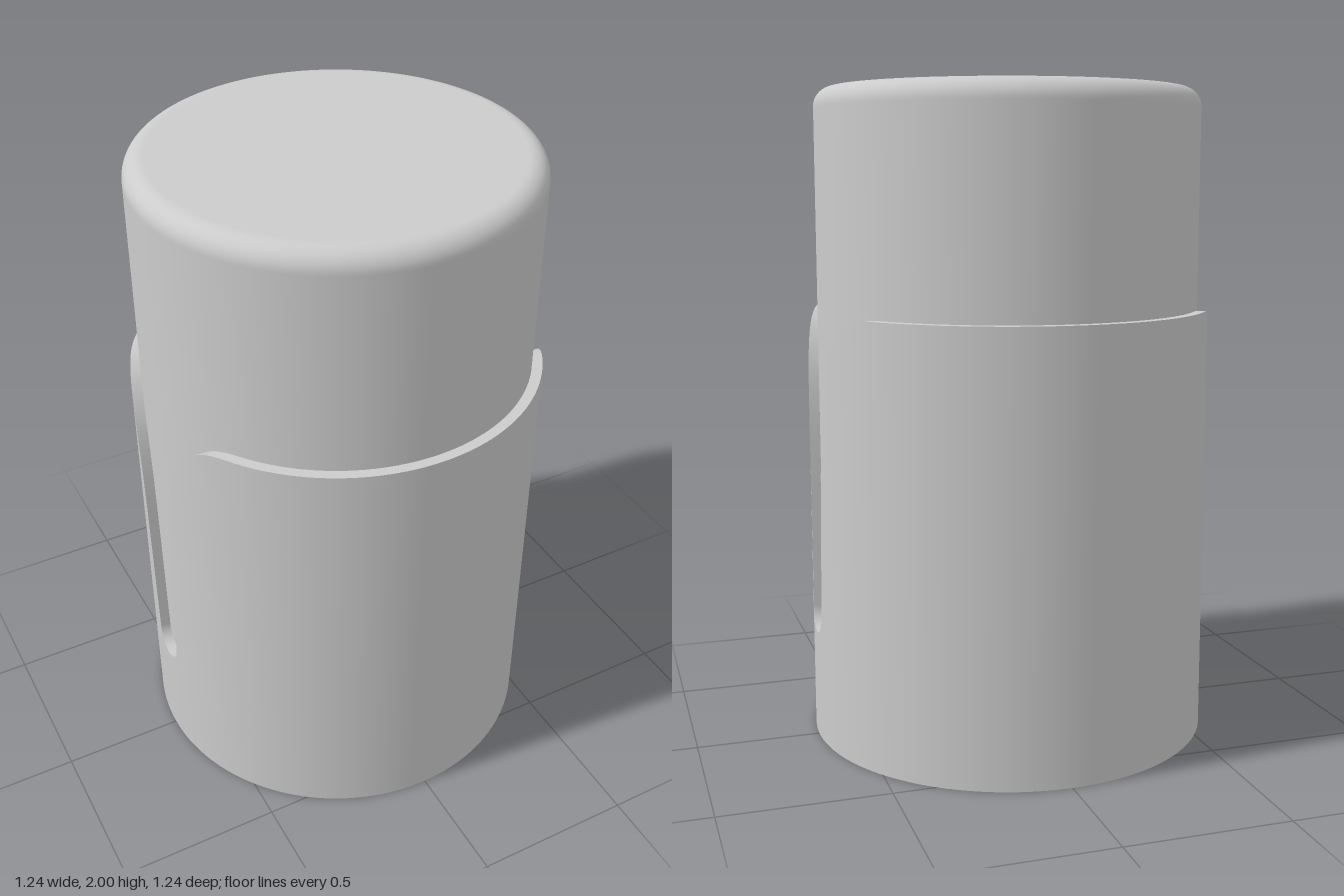
import * as THREE from 'three';

const OUTER = 0.622, INNER = 0.59, RIM = 1.333, HEIGHT = 2, FILLET = 0.06;
const material = new THREE.MeshStandardMaterial({ color: 0xcccccc });

function addPart(group, name, geometry) {
  const mesh = new THREE.Mesh(geometry, material);
  mesh.name = name;
  group.add(mesh);
  return mesh;
}

// Rim line of a quarter of the sleeve, from the slot's middle (+x) to the front (+z):
// angle on the outer wall, angle on the inner wall, height.
function quarterRim() {
  const slot = new THREE.Path();
  slot.absarc(0, 0.4, 0.065, -Math.PI / 2, -0.06, false);
  slot.splineThru([
    [0.071, 0.5], [0.081, 0.7], [0.092, 0.88], [0.107, 1.02], [0.131, 1.13],
    [0.165, 1.21], [0.21, 1.274], [0.26, 1.314], [0.3, 1.329], [0.335, RIM],
  ].map(([z, y]) => new THREE.Vector2(z, y)));
  const rim = slot.getPoints(8).map((p) => ({
    outer: Math.asin(Math.max(p.x, 0) / OUTER),
    inner: Math.asin(Math.max(p.x, 0) / INNER),
    y: Math.min(p.y, RIM),
  }));
  const last = rim[rim.length - 1];
  const steps = 24;
  for (let i = 1; i <= steps; i++) {
    rim.push({
      outer: THREE.MathUtils.lerp(last.outer, Math.PI / 2, i / steps),
      inner: THREE.MathUtils.lerp(last.inner, Math.PI / 2, i / steps),
      y: RIM,
    });
  }
  return rim;
}

// Mirror the quarter into a closed loop around the y axis.
function fullRim() {
  const quarter = quarterRim();
  const flip = (p) => ({ outer: Math.PI - p.outer, inner: Math.PI - p.inner, y: p.y });
  const turn = (p) => ({ outer: Math.PI + p.outer, inner: Math.PI + p.inner, y: p.y });
  const half = [...quarter, ...quarter.slice(1, -1).reverse().map(flip)];
  return [...half, ...half.map(turn)];
}

// Closed strip of quads between two loops of points.
function ribbon(loopA, loopB) {
  const n = loopA.length;
  const index = [];
  for (let i = 0; i < n; i++) {
    const j = (i + 1) % n;
    index.push(i, n + i, j, j, n + i, n + j);
  }
  const geometry = new THREE.BufferGeometry().setFromPoints([...loopA, ...loopB]);
  geometry.setIndex(index);
  geometry.computeVertexNormals();
  return geometry;
}

const polar = (r, a, y) => new THREE.Vector3(r * Math.cos(a), y, r * Math.sin(a));

export function createModel() {
  const group = new THREE.Group();
  group.name = 'slottedContainer';

  // Inner body with a rounded top edge
  const profile = [new THREE.Vector2(INNER, 0.2), new THREE.Vector2(INNER, HEIGHT - FILLET - 0.005)];
  for (let i = 0; i <= 12; i++) {
    const a = (i / 12) * Math.PI / 2;
    profile.push(new THREE.Vector2(
      INNER - FILLET + FILLET * Math.cos(a), HEIGHT - FILLET + FILLET * Math.sin(a)));
  }
  profile.push(new THREE.Vector2(INNER - FILLET - 0.005, HEIGHT), new THREE.Vector2(0, HEIGHT));
  addPart(group, 'innerBody', new THREE.LatheGeometry(profile, 128));

  // Outer sleeve wall, with a flared slot on each side
  const rim = fullRim();
  const foot = rim.map((p) => polar(OUTER, p.outer, 0));
  const outerEdge = rim.map((p) => polar(OUTER, p.outer, p.y));
  const innerEdge = rim.map((p) => polar(INNER, p.inner, p.y));
  addPart(group, 'sleeveWall', ribbon(foot, outerEdge));

  // Thickness of the sleeve along its rim and slots
  addPart(group, 'sleeveRim', ribbon(outerEdge, innerEdge));

  // Flat underside
  addPart(group, 'base', new THREE.CircleGeometry(OUTER, 128)).rotation.x = Math.PI / 2;

  return group;
}
